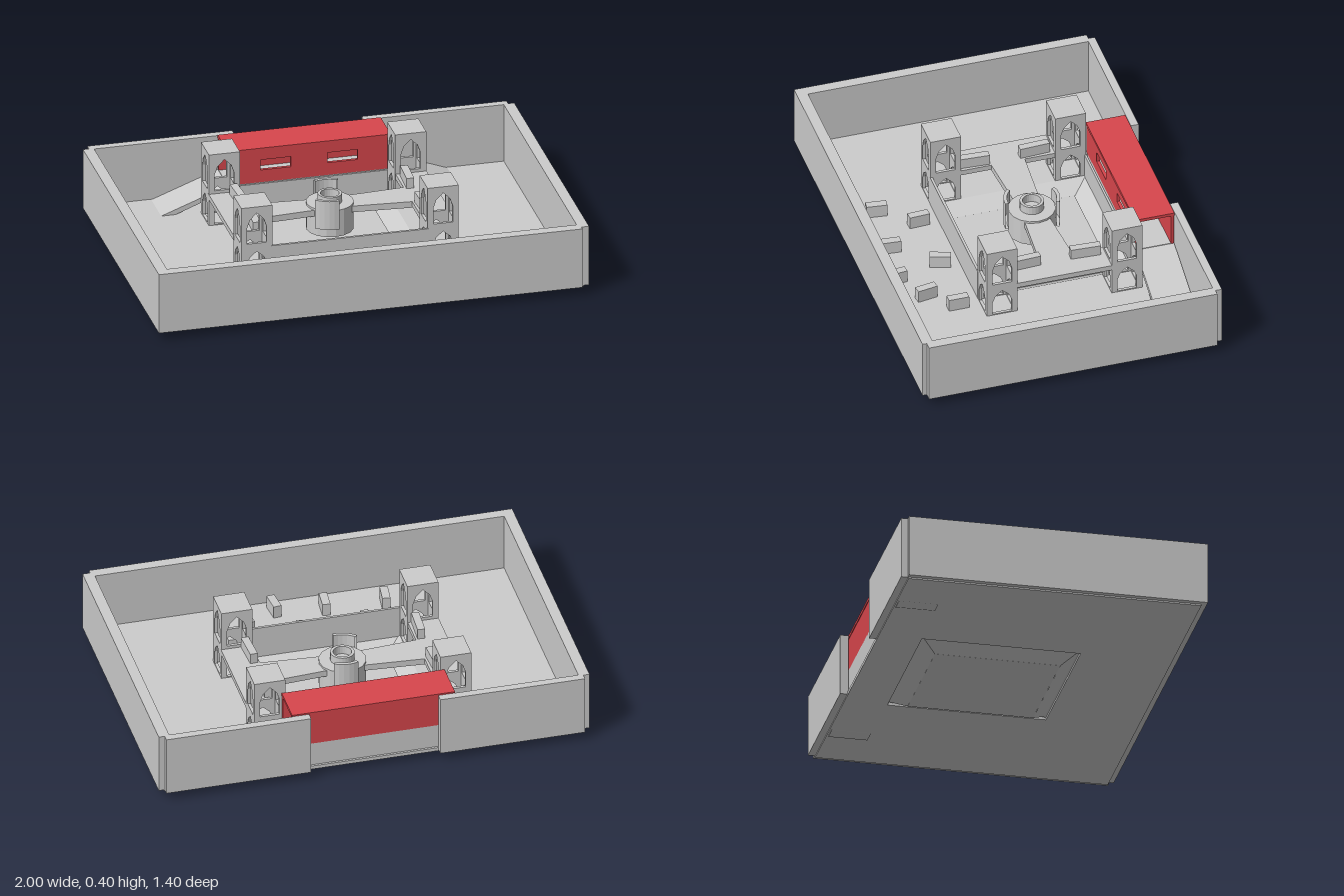
import * as THREE from 'three';

const grey = new THREE.MeshStandardMaterial({ color: 0xcccccc, flatShading: true, side: THREE.DoubleSide });
const red = new THREE.MeshStandardMaterial({ color: 0xd8464c, flatShading: true, side: THREE.DoubleSide });
const MID_Z = -0.11;

function add(parent, name, geometry, material = grey) {
  const mesh = new THREE.Mesh(geometry, material);
  mesh.name = name;
  parent.add(mesh);
  return mesh;
}

// Box given by its limits on each axis
function box(parent, name, [x0, x1], [y0, y1], [z0, z1], material) {
  const g = new THREE.BoxGeometry(x1 - x0, y1 - y0, z1 - z0);
  g.translate((x0 + x1) / 2, (y0 + y1) / 2, (z0 + z1) / 2);
  return add(parent, name, g, material);
}

const outline = (points) => points.map(([x, y]) => new THREE.Vector2(x, y));
const rect = (x0, x1, y0, y1) => [[x0, y0], [x1, y0], [x1, y1], [x0, y1]];

function panel(points, holes, depth) {
  const shape = new THREE.Shape(outline(points));
  holes.forEach((h) => shape.holes.push(new THREE.Path(outline(h))));
  return new THREE.ExtrudeGeometry(shape, { depth, bevelEnabled: false });
}

// Horizontal plate drawn in x and z
function plate(points, holes, y0, y1) {
  return panel(points, holes, y1 - y0).rotateX(Math.PI / 2).translate(0, y1, 0);
}

// Pointed arch opening
const arch = (w, y0, spring, peak) => [
  [-w, y0], [w, y0], [w, spring], [w * 0.7, spring + (peak - spring) * 0.55],
  [0, peak], [-w * 0.7, spring + (peak - spring) * 0.55], [-w, spring],
];

// Hollow square tower with arches on all four sides
function tower(x, z) {
  const group = new THREE.Group();
  group.name = 'tower';
  const half = 0.072;
  const openings = [arch(0.045, 0.22, 0.3, 0.37), arch(0.045, 0.055, 0.12, 0.18)];
  for (let i = 0; i < 4; i++) {
    const wall = add(group, 'towerWall', panel(rect(-half, half, 0.045, 0.39), openings, 0.014).translate(0, 0, half - 0.014));
    wall.rotation.y = i * Math.PI / 2;
  }
  box(group, 'towerRoof', [-half, half], [0.385, 0.4], [-half, half]);
  group.position.set(x, 0, z);
  return group;
}

export function createModel() {
  const model = new THREE.Group();
  model.name = 'walledCourtyard';

  // Floor with the opening of the sunken basin
  add(model, 'floor', plate(rect(-0.975, 0.975, -0.672, 0.675), [rect(-0.36, 0.36, -0.475, 0.255)], 0.033, 0.05));
  const basin = add(model, 'basinSides',
    new THREE.CylinderGeometry(Math.SQRT2, Math.SQRT2 * 0.79, 0.05, 4, 1, true).rotateY(Math.PI / 4));
  basin.scale.set(0.36, 1, 0.365);
  basin.position.set(0, 0.025, MID_Z);
  box(model, 'basinBottom', [-0.285, 0.285], [0, 0.008], [MID_Z - 0.288, MID_Z + 0.288]);

  // Outer walls
  const wallY = [0.04, 0.33];
  box(model, 'frontWall', [-1, 0.965], wallY, [0.65, 0.7]);
  box(model, 'leftWall', [0.95, 1], wallY, [-0.675, 0.68]);
  box(model, 'rightWall', [-1, -0.95], wallY, [-0.675, 0.69]);
  box(model, 'backWallRight', [-0.972, -0.3], wallY, [-0.705, -0.668]);
  box(model, 'backWallLeft', [0.3, 0.972], wallY, [-0.705, -0.668]);

  // Red gatehouse on a grey base
  const gate = new THREE.Group();
  gate.name = 'gatehouse';
  model.add(gate);
  const gateX = [-0.378, 0.378];
  box(gate, 'gateBase', gateX, [0.04, 0.168], [-0.662, -0.485]);
  box(gate, 'gateRoof', gateX, [0.32, 0.335], [-0.665, -0.48], red);
  box(gate, 'gateBack', gateX, [0.165, 0.322], [-0.662, -0.647], red);
  const slots = [rect(-0.225, -0.085, 0.225, 0.275), rect(0.085, 0.225, 0.225, 0.275)];
  add(gate, 'gateFront', panel(rect(-0.378, 0.378, 0.165, 0.322), slots, 0.015).translate(0, 0, -0.499), red);

  // Ramps down from the gatehouse
  for (const s of [-1, 1]) {
    const profile = [[s * 0.37, 0.168], [s * 0.74, 0.03], [s * 0.67, 0.03], [s * 0.37, 0.145]];
    if (s > 0) profile.reverse();
    add(model, 'ramp', panel(profile, [], 0.18).translate(0, 0, -0.663));
  }

  // Towers, raised walkways and their parapets
  for (const s of [-1, 1]) {
    for (const z of [-0.403, 0.184]) model.add(tower(s * 0.432, z));
    const side = (a, b) => (s > 0 ? [a, b] : [-b, -a]);
    box(model, 'walkway', side(0.362, 0.505), [0.18, 0.205], [-0.34, 0.12]);
    for (const z of [-0.24, 0.042]) {
      const parapet = add(model, 'parapet', new THREE.BoxGeometry(0.035, 0.05, 0.14));
      parapet.position.set(s * 0.392, 0.23, z);
      parapet.rotation.y = s * Math.sign(z) * 0.05;
    }
  }
  box(model, 'basinFrontWall', [-0.365, 0.365], [0.045, 0.2], [0.245, 0.257]);
  box(model, 'basinBackWall', [-0.365, 0.365], [0.045, 0.165], [-0.478, -0.468]);

  // Bridge with a round hub
  const bridge = new THREE.Group();
  bridge.name = 'bridge';
  bridge.position.z = MID_Z;
  model.add(bridge);
  add(bridge, 'bridgeDeck', plate([
    [-0.38, -0.08], [-0.1, -0.06], [0.1, -0.06], [0.38, -0.08],
    [0.38, 0.08], [0.1, 0.06], [-0.1, 0.06], [-0.38, 0.08],
  ], [], 0.175, 0.205));
  add(bridge, 'hub', new THREE.CylinderGeometry(0.108, 0.108, 0.13, 16).translate(0, 0.15, 0));
  add(bridge, 'hubRim', new THREE.LatheGeometry(
    outline([[0.042, 0.21], [0.042, 0.255], [0.055, 0.255], [0.055, 0.21]]), 24));
  for (const a of [-0.35, Math.PI - 0.1]) {
    const guard = add(bridge, 'hubGuard', new THREE.LatheGeometry(
      outline([[0.112, 0.13], [0.128, 0.13], [0.128, 0.27], [0.112, 0.27], [0.112, 0.13]]), 5, 0, 0.9));
    guard.rotation.y = a - 0.45;
  }

  // Low stone blocks scattered in front of the basin
  const blocks = [
    [-0.235, 0.35, 0.05], [0.08, 0.345, -0.3], [0.4, 0.36, 0], [-0.36, 0.51, -0.12],
    [-0.085, 0.53, -0.08], [0.14, 0.57, 0.1], [0.29, 0.475, 0.17],
  ];
  for (const [x, z, turn] of blocks) {
    const block = add(model, 'stoneBlock', new THREE.BoxGeometry(0.037, 0.06, 0.095));
    block.position.set(x, 0.08, z);
    block.rotation.y = turn;
  }
  return model;
}
